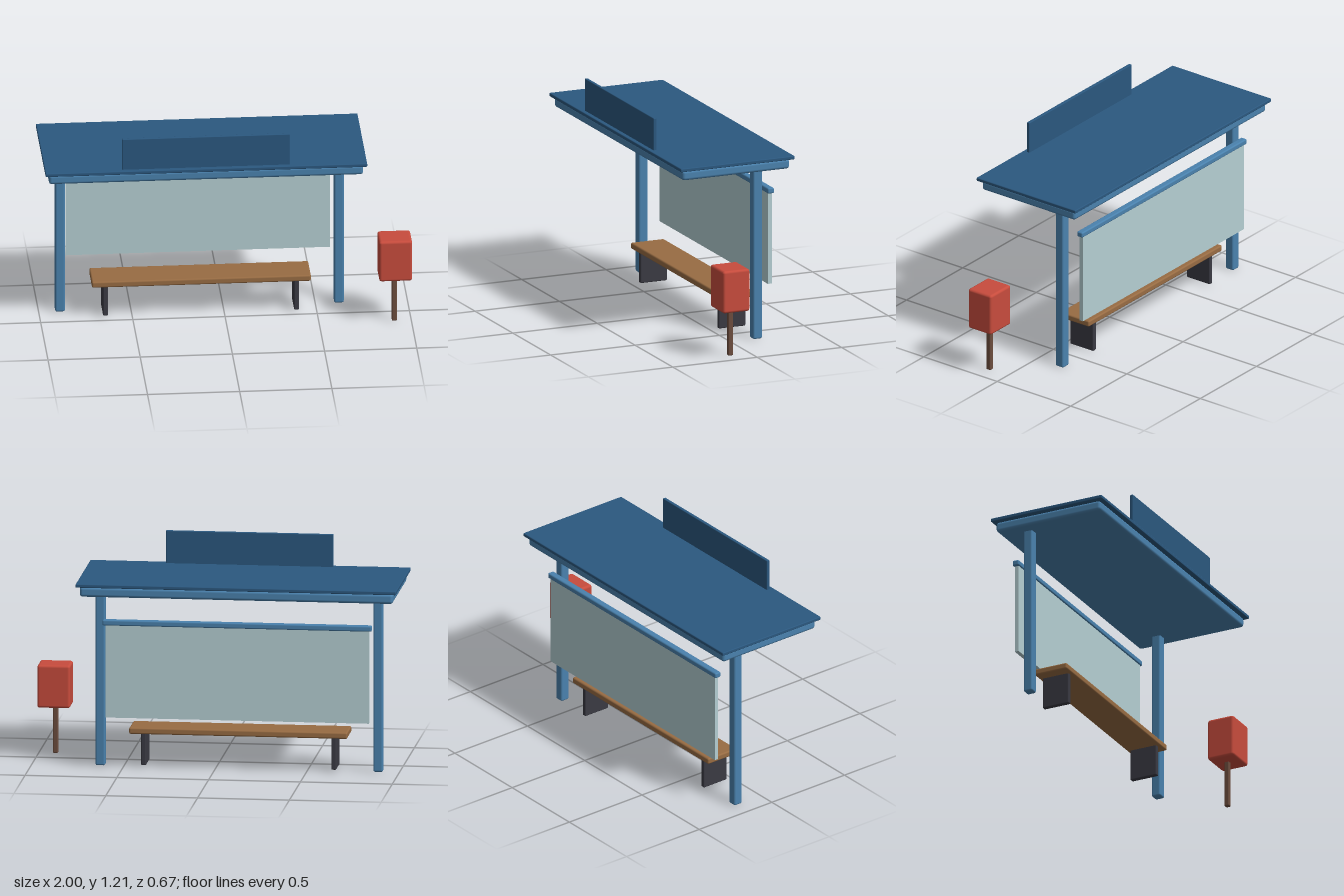
import * as THREE from 'three';
import { RoundedBoxGeometry } from 'three/addons/geometries/RoundedBoxGeometry.js';

const material = (color) => new THREE.MeshStandardMaterial({ color });

export function createModel() {
  const group = new THREE.Group();
  const darkBlue = material(0x2b587f);
  const blue = material(0x4a82ae);
  const glass = material(0xb5cfd3);
  const wood = material(0x986c43);
  const charcoal = material(0x3a3a43);
  const red = material(0xc84c3d);
  const brown = material(0x6c4d3e);

  // Box with softened edges, given by its extent along each axis
  function block(name, mat, [x0, x1], [y0, y1], [z0, z1], radius) {
    const size = [x1 - x0, y1 - y0, z1 - z0];
    const geometry = radius
      ? new RoundedBoxGeometry(...size, 2, radius)
      : new THREE.BoxGeometry(...size);
    const mesh = new THREE.Mesh(geometry, mat);
    mesh.name = name;
    mesh.position.set((x0 + x1) / 2, (y0 + y1) / 2, (z0 + z1) / 2);
    group.add(mesh);
  }
  const around = (centre, width) => [centre - width / 2, centre + width / 2];

  // Roof: overhanging sheet on a rounded slab, with a sign board on the front edge
  block('roofSheet', darkBlue, [-1, 0.745], [1.008, 1.028], [-0.337, 0.337], 0.005);
  block('roofSlab', blue, [-0.98, 0.725], [0.953, 1.008], [-0.317, 0.317], 0.016);
  block('signBoard', darkBlue, [-0.583, 0.328], [1.022, 1.207], [0.295, 0.313], 0.004);

  // Two posts carrying the roof
  for (const x of [-0.884, 0.629]) {
    block('post', blue, around(x, 0.053), [0, 0.965], [-0.185, -0.132], 0.01);
  }

  // Rear glass pane hanging from a rail
  block('glassRail', blue, [-0.86, 0.606], [0.791, 0.822], [-0.278, -0.24], 0.008);
  block('glassPane', glass, [-0.845, 0.59], [0.283, 0.795], [-0.27, -0.247]);

  // Bench seat on two slab legs
  block('benchSeat', wood, [-0.72, 0.468], [0.184, 0.219], [-0.217, -0.02], 0.009);
  for (const x of [-0.645, 0.391]) {
    block('benchLeg', charcoal, around(x, 0.027), [0.009, 0.19], [-0.198, -0.04], 0.006);
  }

  // Letter box on its own stake
  block('letterBox', red, [0.821, 1], [0.263, 0.499], [0.042, 0.2], 0.014);
  block('letterBoxStake', brown, around(0.908, 0.028), [0.003, 0.27], around(0.121, 0.028), 0.006);

  return group;
}
